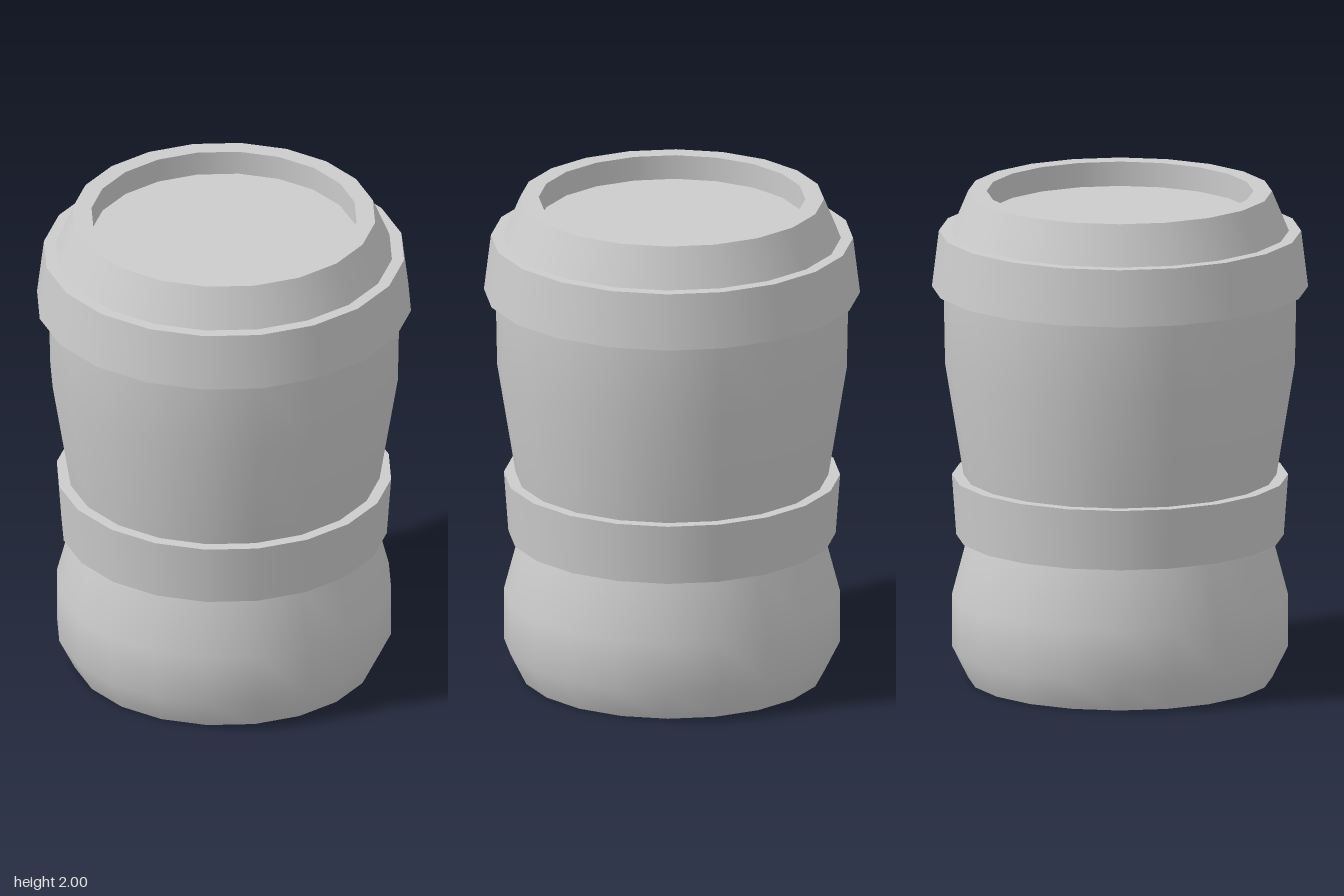
import * as THREE from 'three';

const SIDES = 20;

// Each part is a list of smooth profile runs [radius, height]; edges between runs stay sharp.
const PARTS = {
  base: [
    [[0, 0], [0.61, 0]],
    [[0.61, 0], [0.675, 0.13], [0.675, 0.34], [0.61, 0.587]],
  ],
  lowerBand: [
    [[0.61, 0.587], [0.657, 0.587]],
    [[0.657, 0.587], [0.675, 0.835]],
    [[0.675, 0.835], [0.628, 0.835]],
  ],
  cupBody: [
    [[0.628, 0.835], [0.702, 1.29], [0.708, 1.608]],
  ],
  lidBand: [
    [[0.708, 1.608], [0.755, 1.608]],
    [[0.755, 1.608], [0.727, 1.837]],
    [[0.727, 1.837], [0.678, 1.837]],
  ],
  lidTop: [
    [[0.678, 1.837], [0.61, 2]],
    [[0.61, 2], [0.535, 2]],
    [[0.535, 2], [0.535, 1.9]],
    [[0.535, 1.9], [0, 1.9]],
  ],
};

export function createModel() {
  const model = new THREE.Group();
  model.name = 'lidedCup';
  const material = new THREE.MeshStandardMaterial({ color: 0xcccccc });

  for (const [name, runs] of Object.entries(PARTS)) {
    const part = new THREE.Group();
    part.name = name;
    runs.forEach((run, i) => {
      const points = run.map(([r, y]) => new THREE.Vector2(r, y));
      const mesh = new THREE.Mesh(new THREE.LatheGeometry(points, SIDES), material);
      mesh.name = `${name}Surface${i + 1}`;
      part.add(mesh);
    });
    model.add(part);
  }
  return model;
}
